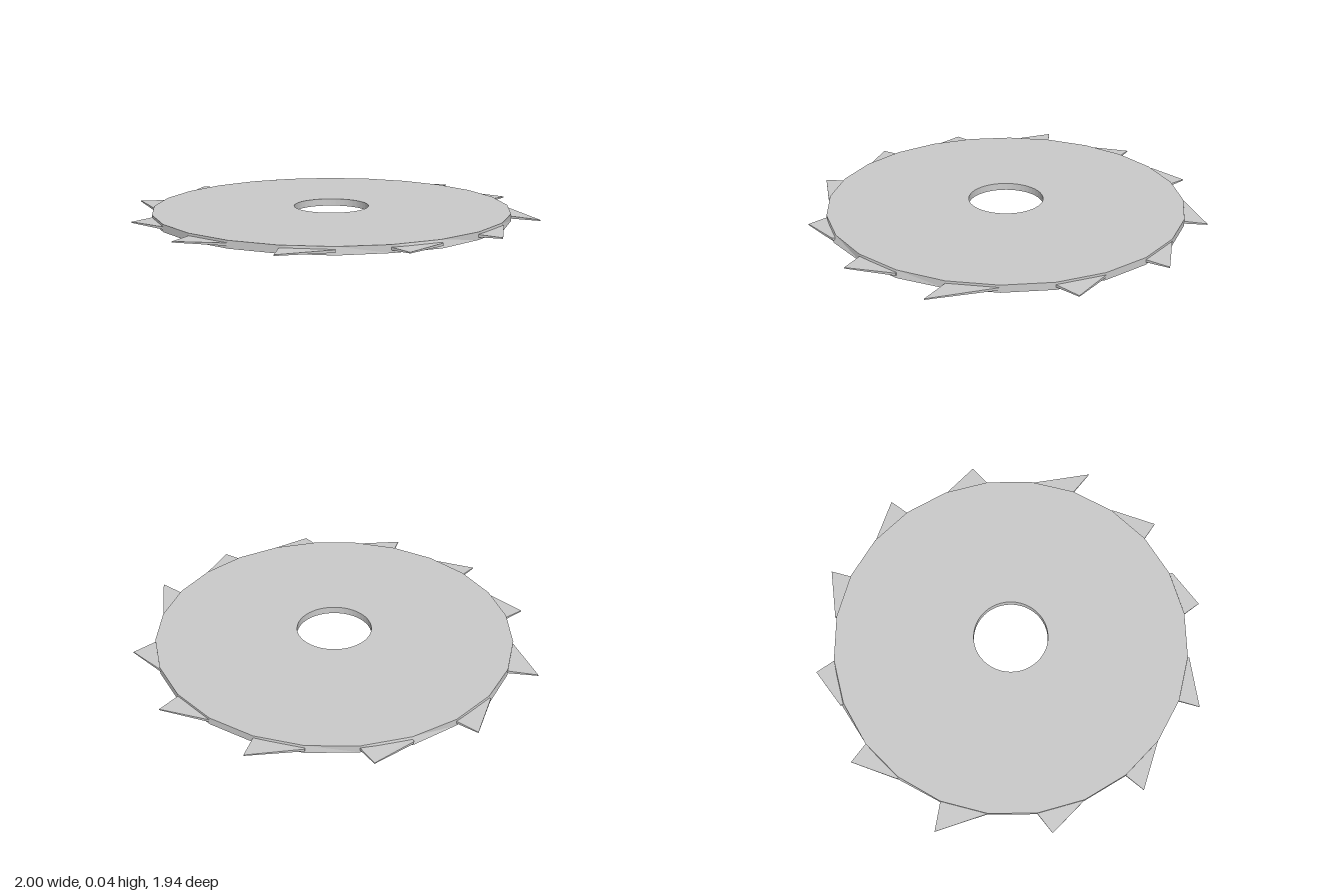
import * as THREE from 'three';

const SIDES = 24, RADIUS = 0.865, HOLE = 0.182, THICK = 0.035, MID = 0.018;
const material = new THREE.MeshStandardMaterial({ color: 0xcccccc, flatShading: true });
const polar = (deg, r) => new THREE.Vector2(r * Math.cos(deg * Math.PI / 180), r * Math.sin(deg * Math.PI / 180));
// slight outward swell along one diagonal
const swell = deg => Math.max(0, Math.cos((deg - 45) * Math.PI / 90));

// Extrude a flat outline so that it lies horizontally, with its upper face at y = top
function slab(shape, depth, top) {
  const g = new THREE.ExtrudeGeometry(shape, { depth, bevelEnabled: false, curveSegments: 24 });
  g.rotateX(Math.PI / 2);
  g.translate(0, top, 0);
  return g;
}

// Faceted disc with a round arbor hole; every other lower corner flares a little
function createDisc() {
  const shape = new THREE.Shape();
  shape.setFromPoints(Array.from({ length: SIDES }, (_, i) => polar(i * 360 / SIDES, RADIUS)));
  shape.holes.push(new THREE.Path().absarc(0, 0, HOLE, 0, Math.PI * 2, true));
  const g = slab(shape, THICK, THICK), p = g.attributes.position;
  for (let i = 0; i < p.count; i++) {
    const x = p.getX(i), z = p.getZ(i), r = Math.hypot(x, z);
    const deg = Math.atan2(z, x) * 180 / Math.PI;
    const odd = Math.abs(Math.round(deg / 15)) % 2 === 1;
    if (r > 0.5 && odd && p.getY(i) < THICK / 2) {
      const s = 1 + 0.012 * swell(deg) / r;
      p.setX(i, x * s);
      p.setZ(i, z * s);
    }
  }
  g.computeVertexNormals();
  return new THREE.Mesh(g, material);
}

// Thin triangular tooth, thinning towards its tip
function createTooth(deg, tip) {
  const root = polar(deg - 15, RADIUS + 0.018 * swell(deg - 15));
  const heel = polar(deg, RADIUS);
  const shape = new THREE.Shape([polar(deg - 15, RADIUS - 0.01), root, tip, heel, polar(deg, RADIUS - 0.01)]);
  const depth = 0.012, g = slab(shape, depth, MID + depth / 2), p = g.attributes.position;
  for (let i = 0; i < p.count; i++) {
    if (Math.hypot(p.getX(i) - tip.x, p.getZ(i) - tip.y) < 0.001) p.setY(i, MID + (p.getY(i) - MID) * 0.4);
  }
  g.computeVertexNormals();
  return new THREE.Mesh(g, material);
}

export function createModel() {
  const model = new THREE.Group();
  model.name = 'sawBlade';
  const disc = createDisc();
  disc.name = 'disc';
  model.add(disc);

  // tooth tips [x, z], one every 30 degrees
  const tips = [
    [1, 0.04], [0.853, 0.455], [0.515, 0.8], [0.01, 0.967], [-0.465, 0.85], [-0.805, 0.53],
    [-1, 0.03], [-0.853, -0.46], [-0.518, -0.805], [-0.01, -0.97], [0.463, -0.855], [0.803, -0.54],
  ];
  const teeth = new THREE.Group();
  teeth.name = 'teeth';
  tips.forEach(([x, z], i) => {
    const tooth = createTooth(i * 30, new THREE.Vector2(x, z));
    tooth.name = 'tooth' + (i + 1);
    teeth.add(tooth);
  });
  model.add(teeth);
  return model;
}
